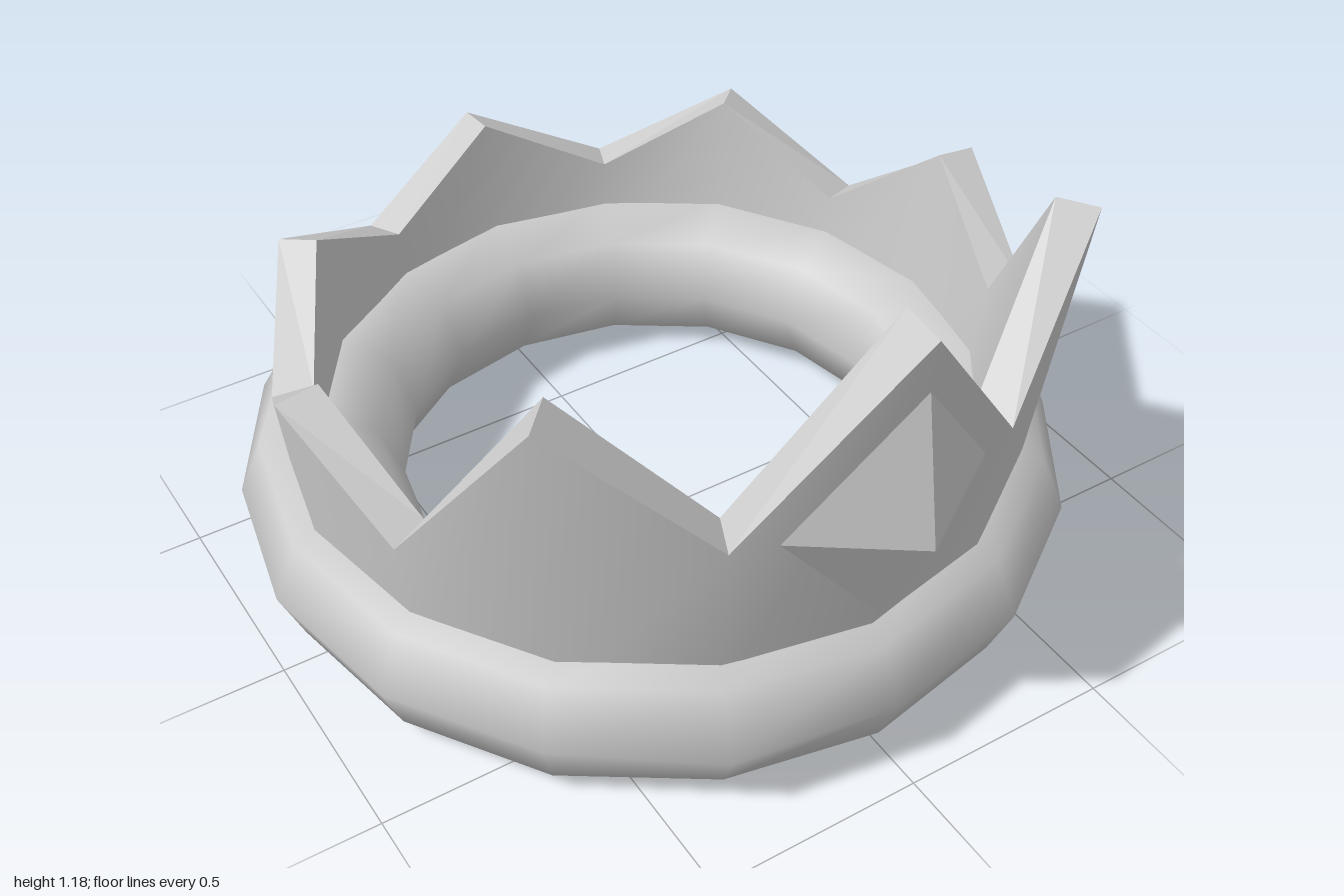
import * as THREE from 'three';

const SIDES = 16;

// Joins two closed rings of points with a strip of quads
function loft(a, b, flat) {
  const n = a.length, index = [];
  for (let i = 0; i < n; i++) {
    const j = (i + 1) % n;
    index.push(i, j, n + j, i, n + j, n + i);
  }
  let geo = new THREE.BufferGeometry().setFromPoints([...a, ...b]);
  geo.setIndex(index);
  if (flat) geo = geo.toNonIndexed();
  geo.computeVertexNormals();
  return geo;
}

// Ring of points around y; angle 0 is the front, spec(i) gives [radius, height]
function ring(spec) {
  return Array.from({ length: SIDES }, (_, i) => {
    const a = (i / SIDES) * Math.PI * 2;
    const [r, y] = spec(Math.min(i, SIDES - i));
    return new THREE.Vector3(r * Math.sin(a), y, r * Math.cos(a));
  });
}

export function createModel() {
  const model = new THREE.Group();
  model.name = 'crown';
  const grey = new THREE.MeshStandardMaterial({ color: 0xcccccc });
  grey.name = 'grey';
  const add = (geo, name, parent) => {
    const mesh = new THREE.Mesh(geo, grey);
    mesh.name = name;
    parent.add(mesh);
  };

  // Padded base ring, with three slight bulges on its outer edge
  const base = new THREE.TorusGeometry(0.78, 0.19, 8, SIDES);
  base.rotateX(Math.PI / 2);
  const p = base.attributes.position;
  const bulges = [[1, 0], [-0.707, -0.707], [-0.383, 0.924]];
  for (let i = 0; i < p.count; i++) {
    const x = p.getX(i), z = p.getZ(i), r = Math.hypot(x, z);
    if (r > 0.96 && bulges.some(([bx, bz]) => (x * bx + z * bz) / r > 0.99)) {
      p.setX(i, x * 1.02);
      p.setZ(i, z * 1.02);
    }
  }
  base.translate(0, 0.195, 0);
  add(base, 'baseRing', model);

  // Pointed wall: [rim height, outer radius, inner radius] from front to back
  const rim = [
    [1.172, 0.98, 0.88], [0.703, 0.906, 0.815], [1.033, 0.953, 0.857],
    [0.55, 0.887, 0.794], [0.727, 0.91, 0.81], [0.463, 0.87, 0.775],
    [0.655, 0.895, 0.8], [0.48, 0.868, 0.773], [0.652, 0.897, 0.797],
  ];
  const outerTop = ring(i => [rim[i][1], rim[i][0]]);
  const innerTop = ring(i => [rim[i][2], rim[i][0] + 0.012]);
  const outerBottom = ring(() => [0.845, 0.22]);
  const innerBottom = ring(() => [0.745, 0.22]);
  const wall = new THREE.Group();
  wall.name = 'pointedWall';
  add(loft(outerBottom, outerTop), 'outerWall', wall);
  add(loft(outerTop, innerTop, true), 'rim', wall);
  add(loft(innerTop, innerBottom), 'innerWall', wall);
  add(loft(innerBottom, outerBottom, true), 'underside', wall);
  model.add(wall);

  // Faceted gem on the front point: four edge corners between a tip and a back
  const v = (x, y, z) => new THREE.Vector3(x, y, z);
  const edge = [v(0, 1.045, 0.968), v(-0.25, 0.704, 0.868), v(0, 0.395, 0.88), v(0.25, 0.704, 0.868)];
  const tip = v(0, 0.692, 1.028), back = v(0, 0.7, 0.84);
  const faces = edge.flatMap((a, i) => {
    const b = edge[(i + 1) % 4];
    return [a, b, tip, b, a, back];
  });
  const gem = new THREE.BufferGeometry().setFromPoints(faces);
  gem.computeVertexNormals();
  add(gem, 'frontGem', model);

  model.children.forEach(part => part.position.set(-0.012, 0, -0.028));
  return model;
}
